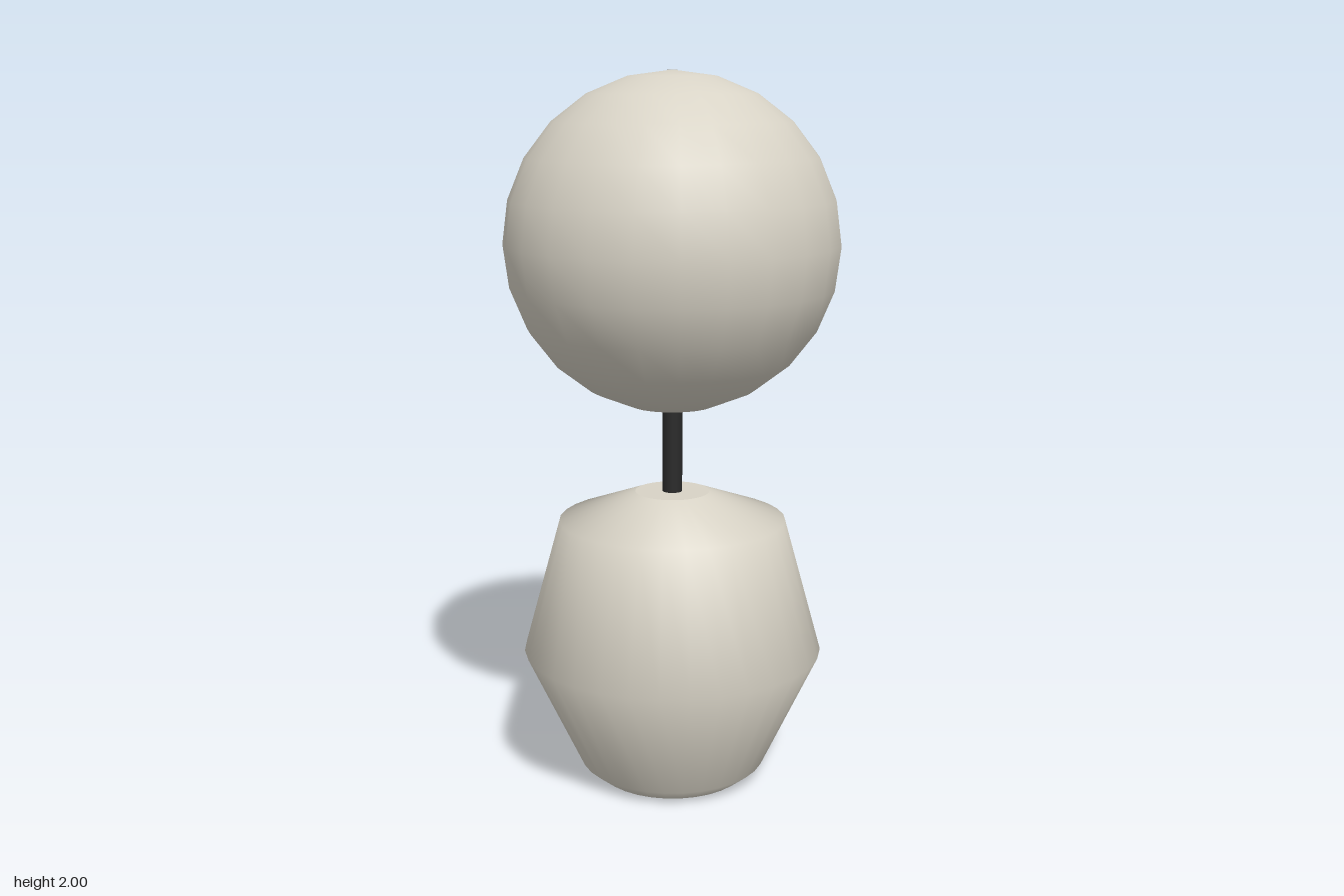
import * as THREE from 'three';

const shell = new THREE.MeshStandardMaterial({ color: 0xd8d3c6 });
shell.name = 'warm grey';
const dark = new THREE.MeshStandardMaterial({ color: 0x2a2a2a });
dark.name = 'black';

export function createModel() {
  const group = new THREE.Group();
  const add = (name, geometry, material, y = 0) => {
    const mesh = new THREE.Mesh(geometry, material);
    mesh.name = name;
    mesh.position.y = y;
    group.add(mesh);
    return mesh;
  };

  // Faceted-profile body with smooth shading around and along it
  const profile = [[0.215, 0], [0.265, 0.04], [0.425, 0.38], [0.32, 0.76], [0.105, 0.84]]
    .map(([r, y]) => new THREE.Vector2(r, y));
  add('body', new THREE.LatheGeometry(profile, 32), shell);

  // Flat ends of the body
  add('bodyTop', new THREE.CircleGeometry(0.105, 32).rotateX(-Math.PI / 2), shell, 0.84);
  add('bodyBase', new THREE.CircleGeometry(0.215, 32).rotateX(Math.PI / 2), shell, 0);

  // Thin neck joining body and head
  add('neck', new THREE.CylinderGeometry(0.028, 0.028, 0.4, 16), dark, 0.97);

  // Round head with a tiny flush plug at its crown
  add('head', new THREE.SphereGeometry(0.4625, 24, 12), shell, 1.5375);
  add('crownPlug', new THREE.CylinderGeometry(0.014, 0.014, 0.02, 12), shell, 1.99);

  return group;
}
